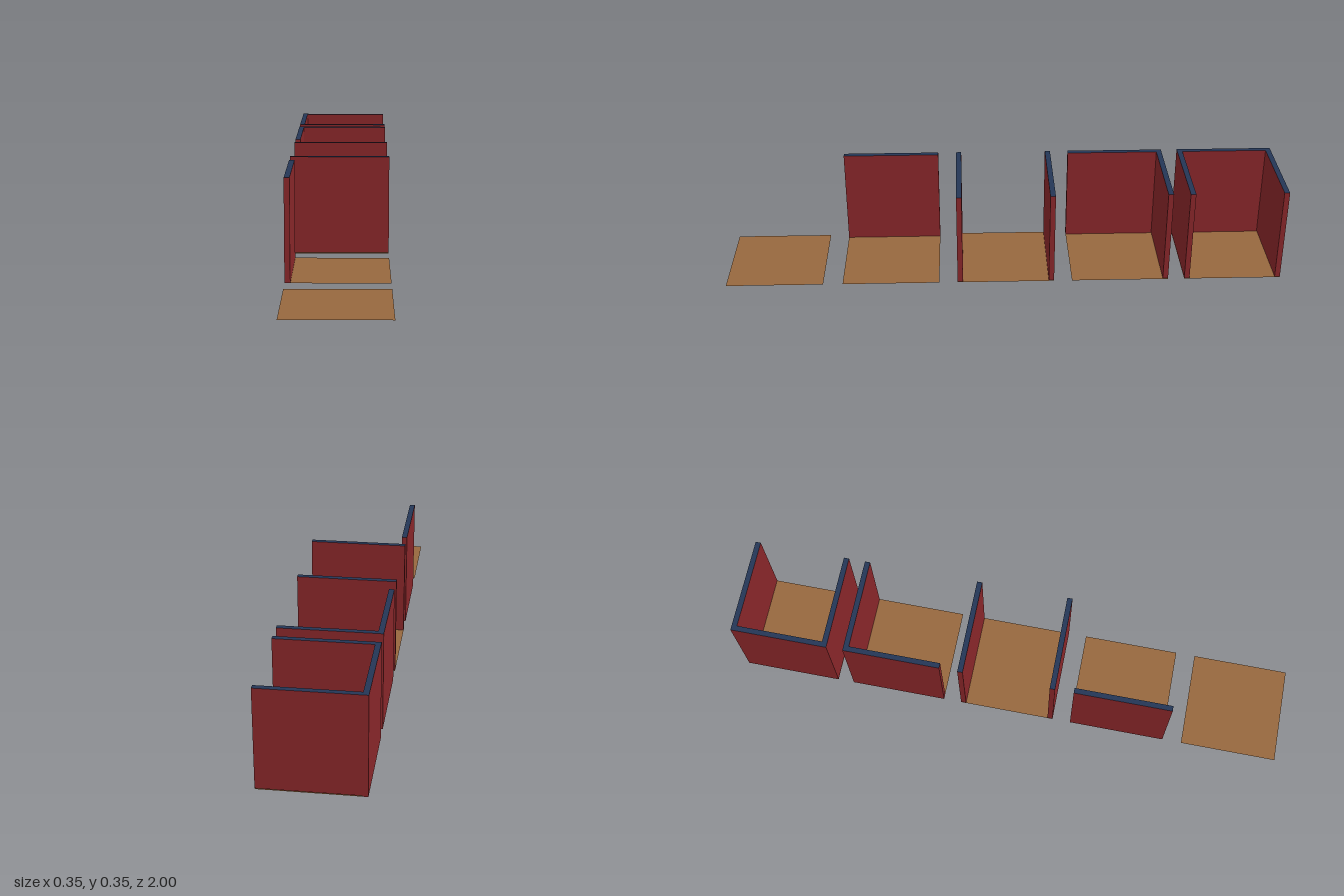
import * as THREE from 'three';

const SIZE = 0.348;  // tile side and wall height
const WALL = 0.019;  // wall thickness
const GAP = 0.003;   // gap between the floor sheet and the walls above it

const mat = (name, color) => {
  const m = new THREE.MeshStandardMaterial({ color });
  m.name = name;
  return m;
};

// Box given by its min and max corners
function slab(name, material, [x0, y0, z0], [x1, y1, z1]) {
  const geo = new THREE.BoxGeometry(x1 - x0, y1 - y0, z1 - z0);
  const mesh = new THREE.Mesh(geo, material);
  mesh.position.set((x0 + x1) / 2, (y0 + y1) / 2, (z0 + z1) / 2);
  mesh.name = name;
  return mesh;
}

// Flat floor sheet from x0 to x1 over the depth of a tile
function sheet(name, material, x0, x1) {
  const geo = new THREE.PlaneGeometry(x1 - x0, SIZE).rotateX(-Math.PI / 2);
  const mesh = new THREE.Mesh(geo, material);
  mesh.position.x = (x0 + x1) / 2;
  mesh.name = name;
  return mesh;
}

export function createModel() {
  const wood = mat('floorBrown', 0x97683f);
  wood.side = THREE.DoubleSide;
  const red = mat('wallRed', 0x8a272a);
  const navy = mat('wallTopNavy', 0x243656);
  const wall = [red, red, navy, red, red, red]; // navy on the top face only

  // Room tiles from back to front, with the walls each one carries
  const tiles = [
    { name: 'threeWallTile', z: -0.826, back: true, side: true, front: true },
    { name: 'cornerTile', z: -0.419, back: true, side: true },
    { name: 'corridorTile', z: -0.006, back: true, front: true },
    { name: 'sideWallTile', z: 0.408, side: true },
    { name: 'openTile', z: 0.826 },
  ];

  const model = new THREE.Group();
  model.name = 'roomTiles';
  const h = SIZE / 2;
  for (const t of tiles) {
    const tile = new THREE.Group();
    tile.name = t.name;
    tile.position.z = t.z;
    const inner = t.side ? -h + WALL : -h;

    tile.add(sheet('floor', wood, inner, h));
    // Back and front walls stand just above the floor
    if (t.back) tile.add(slab('backWall', wall, [inner, GAP, -h], [h, SIZE, -h + WALL]));
    if (t.front) tile.add(slab('frontWall', wall, [inner, GAP, h - WALL], [h, SIZE, h]));
    // Side wall stands beside the floor and closes the corners
    if (t.side) tile.add(slab('sideWall', wall, [-h, 0, -h], [inner, SIZE, h]));
    model.add(tile);
  }
  return model;
}
